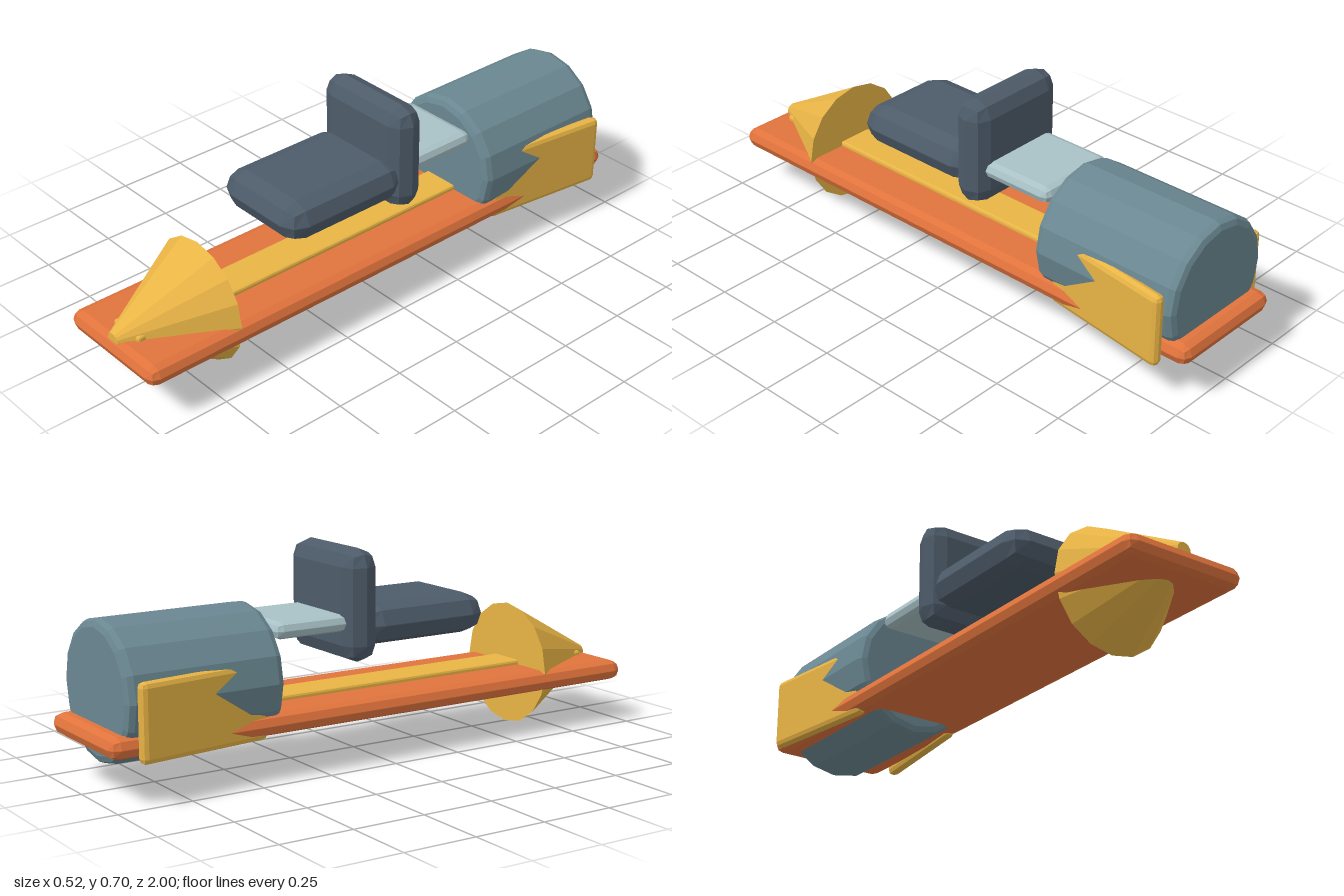
import * as THREE from 'three';
import { RoundedBoxGeometry } from 'three/addons/geometries/RoundedBoxGeometry.js';

const paint = (color) => new THREE.MeshStandardMaterial({ color, flatShading: true });
const orange = paint(0xe0733c);
const yellow = paint(0xe8b445);
const steel = paint(0x6a8791);
const paleSteel = paint(0xa9c2c6);
const slate = paint(0x4d5b69);

export function createModel() {
  const model = new THREE.Group();
  model.name = 'hoverSled';

  const add = (name, geometry, material) => {
    const mesh = new THREE.Mesh(geometry, material);
    mesh.name = name;
    model.add(mesh);
    return mesh;
  };

  // Box with two-step bevels, given by its min and max on each axis
  const block = (name, [x0, x1], [y0, y1], [z0, z1], radius, material) => {
    const mesh = add(name, new RoundedBoxGeometry(x1 - x0, y1 - y0, z1 - z0, 1, radius), material);
    mesh.position.set((x0 + x1) / 2, (y0 + y1) / 2, (z0 + z1) / 2);
    return mesh;
  };

  // Long deck and the stripe along it
  block('deck', [-0.22, 0.22], [0.148, 0.218], [-1, 1], 0.034, orange);
  block('deckStripe', [-0.067, 0.067], [0.205, 0.234], [-0.6, 0.935], 0.008, yellow);

  // Nose cone with a blunt tip
  const nose = add('noseCone', new THREE.CylinderGeometry(0.025, 0.213, 0.335, 16), yellow);
  nose.rotation.x = Math.PI / 2;
  nose.position.set(0, 0.215, 0.8175);

  // Seat cushion, backrest and the bracket to the engine
  block('seat', [-0.19, 0.19], [0.378, 0.515], [-0.07, 0.42], 0.067, slate);
  block('backrest', [-0.197, 0.197], [0.33, 0.703], [-0.138, -0.018], 0.059, slate);
  block('seatBracket', [-0.155, 0.155], [0.435, 0.491], [-0.39, -0.08], 0.027, paleSteel);

  // Engine drum with rounded rims
  const R = 0.228, H = 0.2725, B = 0.026;
  const profile = [[0, -H], [R - B, -H], [R - B * 0.29, -H + B * 0.29], [R, -H + B],
    [R, H - B], [R - B * 0.29, H - B * 0.29], [R - B, H], [0, H]];
  const drum = add('engineDrum',
    new THREE.LatheGeometry(profile.map(([x, y]) => new THREE.Vector2(x, y)), 16), steel);
  drum.rotation.x = Math.PI / 2;
  drum.position.set(0, 0.317, -0.6725);

  // Side fins, splayed outward towards the back
  for (const [side, name] of [[1, 'leftFin'], [-1, 'rightFin']]) {
    const fin = add(name, new RoundedBoxGeometry(0.04, 0.252, 0.47, 1, 0.018), yellow);
    fin.position.set(side * 0.212, 0.263, -0.685);
    fin.rotation.y = -side * 0.13;
  }

  return model;
}
